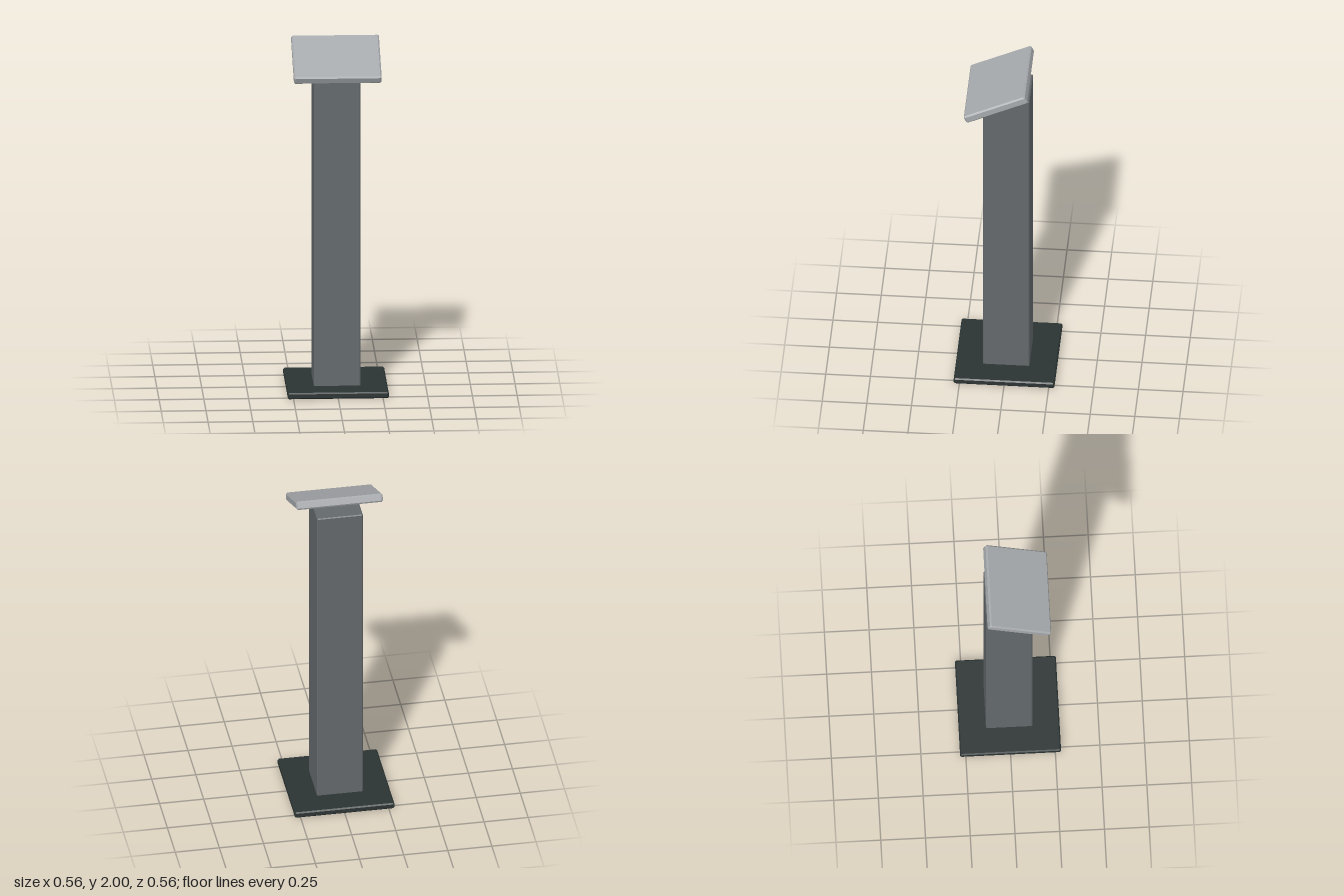
import * as THREE from 'three';
import { ConvexGeometry } from 'three/addons/geometries/ConvexGeometry.js';

// Box with every edge chamfered by c
function chamferBox(w, h, d, c) {
  const points = [];
  for (const x of [-1, 1]) for (const y of [-1, 1]) for (const z of [-1, 1]) {
    for (let axis = 0; axis < 3; axis++) {
      const inset = [c, c, c];
      inset[axis] = 0;
      points.push(new THREE.Vector3(
        x * (w / 2 - inset[0]), y * (h / 2 - inset[1]), z * (d / 2 - inset[2])));
    }
  }
  return new ConvexGeometry(points);
}

function material(name, color) {
  const m = new THREE.MeshStandardMaterial({ color });
  m.name = name;
  return m;
}

export function createModel() {
  const group = new THREE.Group();
  group.name = 'pedestalStand';

  const add = (name, geometry, mat, y, z = 0) => {
    const mesh = new THREE.Mesh(geometry, mat);
    mesh.name = name;
    mesh.position.set(0, y, z);
    group.add(mesh);
    return mesh;
  };

  // Square floor plate
  add('basePlate', chamferBox(0.564, 0.036, 0.564, 0.007),
    material('blackMetal', 0x2b3433), 0.018);

  // Tall square post
  add('column', chamferBox(0.26, 1.86, 0.26, 0.005),
    material('darkGrey', 0x64696c), 0.955);

  // Panel tilted towards the front
  const panel = add('tiltedPanel', chamferBox(0.49, 0.048, 0.377, 0.008),
    material('lightGrey', 0xa6a9ac), 1.9, 0.051);
  panel.rotation.x = THREE.MathUtils.degToRad(25);

  return group;
}
